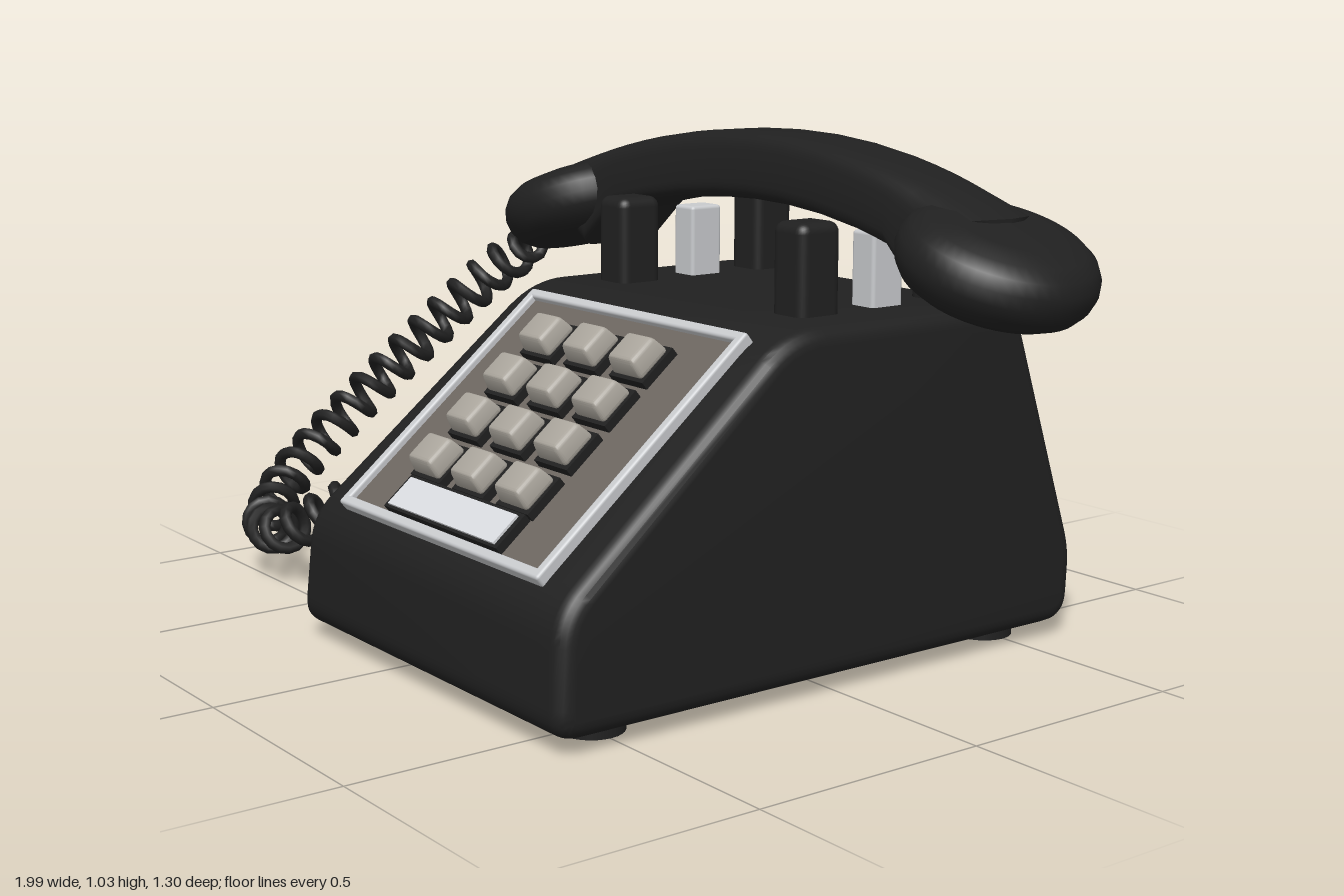
import * as THREE from 'three';
import { toCreasedNormals } from 'three/addons/utils/BufferGeometryUtils.js';
import { RoundedBoxGeometry } from 'three/addons/geometries/RoundedBoxGeometry.js';

const material = (name, color) => {
  const m = new THREE.MeshStandardMaterial({ color });
  m.name = name;
  return m;
};
const black = material('black plastic', 0x202020);
const silver = material('silver trim', 0xc8cacd);
const taupe = material('taupe faceplate', 0x6c6660);
const keyGrey = material('warm grey keys', 0xaaa59c);
const white = material('label white', 0xd9dbdf);

const CX = 0.164; // middle of the phone across x

function add(parent, name, geometry, mat, x = 0, y = 0, z = 0) {
  const mesh = new THREE.Mesh(geometry, mat);
  mesh.name = name;
  mesh.position.set(x, y, z);
  parent.add(mesh);
  return mesh;
}

// Closed outline whose corners [x, y, cut] are rounded
function roundedOutline(corners) {
  const shape = new THREE.Shape();
  const n = corners.length;
  corners.forEach(([x, y, cut], i) => {
    const p = new THREE.Vector2(x, y);
    const toward = ([a, b]) => new THREE.Vector2(a, b).sub(p).setLength(cut).add(p);
    const a = toward(corners[(i + n - 1) % n]);
    const b = toward(corners[(i + 1) % n]);
    if (i === 0) shape.moveTo(a.x, a.y);
    else shape.lineTo(a.x, a.y);
    shape.quadraticCurveTo(x, y, b.x, b.y);
  });
  shape.closePath();
  return shape;
}

// Wedge body: side profile extruded across, narrowing toward the top
function bodyGeometry() {
  const outline = roundedOutline([
    [-0.637, 0.03, 0.06], [0.655, 0.03, 0.06], [0.635, 0.262, 0.06],
    [0.1, 0.705, 0.08], [-0.495, 0.705, 0.06], [-0.652, 0.18, 0.04],
  ]);
  const bevel = 0.035, half = 0.472;
  const g = new THREE.ExtrudeGeometry(outline, {
    depth: 2 * (half - bevel), bevelEnabled: true, bevelThickness: bevel,
    bevelSize: bevel, bevelOffset: -bevel, bevelSegments: 5, curveSegments: 8,
  });
  g.translate(0, 0, -(half - bevel));
  g.rotateY(-Math.PI / 2);
  const p = g.attributes.position;
  for (let i = 0; i < p.count; i++) p.setX(i, p.getX(i) * (1 - 0.1 * (p.getY(i) - 0.05)));
  return toCreasedNormals(g, 0.6);
}

// Arched handle: rounded trapezoid sections lofted along x
function handleGeometry() {
  const half = [0.11, 0.23, 0.35, 0.41, 0.47, 0.52, 0.575, 0.625, 0.68];
  const us = [...half.map(u => -u).reverse(), 0, ...half];
  const rings = [[us[0], 0], ...us.map(u => [u, 1]), [us[us.length - 1], 0]];
  const sides = 32, verts = [], index = [];
  const bulge = v => Math.sign(v) * Math.pow(Math.abs(v), 0.45);
  const underside = u => {
    if (u <= 0.47) return 0.893 - 0.25 * u * u;
    if (u <= 0.575) return THREE.MathUtils.mapLinear(u, 0.47, 0.575, 0.838, 0.745);
    return THREE.MathUtils.mapLinear(u, 0.575, 0.68, 0.745, 0.83);
  };
  rings.forEach(([u, k], i) => {
    const top = 1.034 - 0.26 * u * u, low = underside(Math.abs(u));
    for (let j = 0; j < sides; j++) {
      const t = (j / sides) * Math.PI * 2;
      const c = bulge(Math.cos(t)) * k, s = bulge(Math.sin(t)) * k;
      const width = (0.098 + 0.025 * u * u) * (1 - 0.07 * s);
      verts.push(u * (1 - 0.08 * c * c), (top + low) / 2 + s * (top - low) / 2,
        -0.24 + 0.06 * u * u + c * width);
      if (i === rings.length - 1) continue;
      const a = i * sides + j, b = i * sides + (j + 1) % sides;
      index.push(a, a + sides, b, b, a + sides, b + sides);
    }
  });
  const g = new THREE.BufferGeometry();
  g.setAttribute('position', new THREE.Float32BufferAttribute(verts, 3));
  g.setIndex(index);
  return toCreasedNormals(g, 0.7);
}

// Key cap: a box drawn in at the top
function keyGeometry(w, h, d) {
  const g = new RoundedBoxGeometry(w, h, d, 2, 0.01);
  const p = g.attributes.position;
  for (let i = 0; i < p.count; i++) {
    const s = 1 - 0.2 * (p.getZ(i) / d + 0.5);
    p.setXY(i, p.getX(i) * s, p.getY(i) * s);
  }
  g.computeVertexNormals();
  return toCreasedNormals(g, 0.5);
}

// Coiled cord: a helix wound round a smooth path
function cordGeometry() {
  const path = new THREE.CatmullRomCurve3([
    [-0.62, 0.75, -0.2], [-0.77, 0.66, -0.15], [-0.88, 0.49, 0], [-0.935, 0.31, 0.19],
    [-0.91, 0.18, 0.36], [-0.81, 0.112, 0.47], [-0.66, 0.13, 0.49], [-0.51, 0.22, 0.38],
    [-0.4, 0.29, 0.22], [-0.27, 0.335, 0.05],
  ].map(p => new THREE.Vector3(...p)));
  const turns = 29, steps = turns * 14;
  const frames = path.computeFrenetFrames(steps);
  const points = [];
  for (let i = 0; i <= steps; i++) {
    const t = i / steps, a = t * turns * Math.PI * 2;
    const r = 0.044 * Math.min(1, 0.3 + t * 10);
    points.push(path.getPointAt(t)
      .addScaledVector(frames.normals[i], Math.cos(a) * r)
      .addScaledVector(frames.binormals[i], Math.sin(a) * r));
  }
  return new THREE.TubeGeometry(new THREE.CatmullRomCurve3(points), steps, 0.0135, 7);
}

function keypad() {
  const pad = new THREE.Group();
  pad.name = 'keypad';
  pad.position.set(CX, 0.484, 0.367);
  pad.rotation.x = -0.88;

  // Faceplate and raised trim
  add(pad, 'faceplate', new THREE.BoxGeometry(0.69, 0.59, 0.016), taupe);
  const w = 0.715, h = 0.618, t = 0.022;
  for (const s of [-1, 1]) {
    add(pad, 'trimRail', new RoundedBoxGeometry(w, t, 0.04, 2, 0.006), silver, 0, s * (h - t) / 2, 0.002);
    add(pad, 'trimStile', new RoundedBoxGeometry(t, h, 0.04, 2, 0.006), silver, s * (w - t) / 2, 0, 0.002);
  }

  // Twelve keys in dark sockets
  const socket = new THREE.BoxGeometry(0.108, 0.094, 0.024);
  const cap = keyGeometry(0.098, 0.084, 0.045);
  for (let row = 0; row < 4; row++) {
    for (let col = -1; col <= 1; col++) {
      const x = col * 0.155, y = 0.187 - row * 0.113;
      add(pad, 'keySocket', socket, black, x, y, 0.014);
      add(pad, 'key', cap, keyGrey, x, y, 0.046);
    }
  }

  // Label strip below the keys
  add(pad, 'labelHolder', new THREE.BoxGeometry(0.405, 0.084, 0.024), black, 0, -0.242, 0.014);
  add(pad, 'label', new THREE.BoxGeometry(0.38, 0.07, 0.006), white, 0, -0.243, 0.028);
  return pad;
}

export function createModel() {
  const phone = new THREE.Group();
  phone.name = 'telephone';

  add(phone, 'body', bodyGeometry(), black, CX);
  const foot = new THREE.CylinderGeometry(0.063, 0.063, 0.05, 28);
  for (const sx of [-1, 1]) for (const sz of [-1, 1]) {
    add(phone, 'foot', foot, black, CX + sx * 0.353, 0.025, sz * 0.497);
  }
  phone.add(keypad());

  // Cradle posts with a hook plunger between each pair
  const post = new RoundedBoxGeometry(0.094, 0.235, 0.104, 3, 0.022);
  const plunger = new RoundedBoxGeometry(0.065, 0.19, 0.08, 2, 0.008);
  for (const s of [-1, 1]) {
    const x = CX + s * 0.288;
    for (const z of [-0.06, -0.426]) add(phone, 'cradlePost', post, black, x, 0.768, z);
    add(phone, 'hookPlunger', plunger, silver, x, 0.76, -0.245);
  }

  // Handset: arched handle with a tilted round cup at each end
  const handset = new THREE.Group();
  handset.name = 'handset';
  handset.position.x = CX;
  phone.add(handset);
  add(handset, 'handle', handleGeometry(), black);
  const profile = [
    [0, -0.068], [0.1, -0.067], [0.145, -0.062], [0.17, -0.047], [0.186, -0.024], [0.193, 0.002],
    [0.19, 0.028], [0.176, 0.052], [0.15, 0.07], [0.1, 0.083], [0, 0.09],
  ].map(p => new THREE.Vector2(...p));
  const cup = new THREE.LatheGeometry(profile, 48);
  for (const s of [-1, 1]) {
    add(handset, s < 0 ? 'mouthpiece' : 'earpiece', cup, black, s * 0.648, 0.822, -0.208).rotation.z = -s * 0.35;
  }

  add(phone, 'cord', cordGeometry(), black);
  return phone;
}
